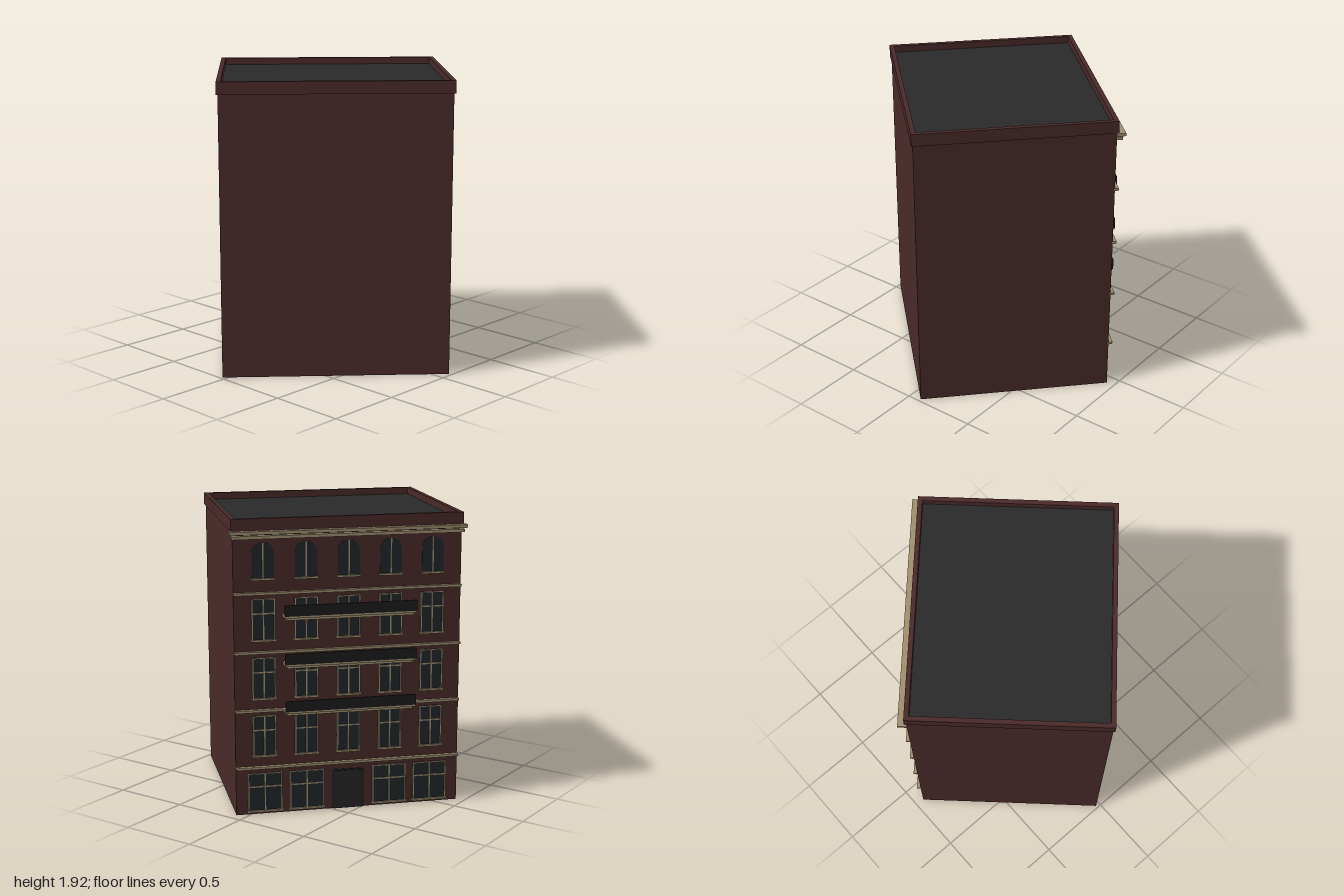
import * as THREE from 'three';

const mat = (name, color) => {
  const m = new THREE.MeshStandardMaterial({ color });
  m.name = name;
  return m;
};

export function createModel() {
  const brick = mat('dark red brick', 0x4a2a2a);
  const stone = mat('beige stone', 0xa09070);
  const roofing = mat('roof felt', 0x2a2a2a);
  const glass = mat('dark glass', 0x20272a);
  const iron = mat('black iron', 0x1c1c1c);
  const doorPaint = mat('door paint', 0x262626);

  const HW = 0.735, HD = 0.626; // half width and half depth of the walls
  const building = new THREE.Group();
  building.name = 'building';

  // Box spanning x0..x1, y0..y1, z0..z1
  const box = (parent, name, m, x0, x1, y0, y1, z0, z1) => {
    const mesh = new THREE.Mesh(new THREE.BoxGeometry(x1 - x0, y1 - y0, z1 - z0), m);
    mesh.position.set((x0 + x1) / 2, (y0 + y1) / 2, (z0 + z1) / 2);
    mesh.name = name;
    parent.add(mesh);
    return mesh;
  };
  // Box standing on the facade, out to the given distance
  const onFacade = (parent, name, m, x0, x1, y0, y1, out) =>
    box(parent, name, m, x0, x1, y0, y1, HD - 0.005, HD + out);

  // Walls, roof and parapet
  box(building, 'walls', brick, -HW, HW, 0, 1.845, -HD, HD);
  box(building, 'roof', roofing, -0.72, 0.72, 1.845, 1.875, -0.61, 0.61);
  const PW = 0.745, PD = 0.636, T = 0.03;
  for (const s of [-1, 1]) {
    const z = s * (PD - T / 2), x = s * (PW - T / 2);
    box(building, 'parapet', brick, -PW, PW, 1.84, 1.92, z - T / 2, z + T / 2);
    box(building, 'parapet', brick, x - T / 2, x + T / 2, 1.84, 1.92, -PD + T, PD - T);
  }

  // Cornice and floor bands
  onFacade(building, 'upperCornice', stone, -0.76, 0.76, 1.825, 1.845, 0.051);
  onFacade(building, 'lowerCornice', stone, -0.745, 0.745, 1.795, 1.815, 0.035);
  for (const y of [0.315, 0.693, 1.072, 1.45])
    onFacade(building, 'floorBand', stone, -HW, HW, y - 0.008, y + 0.008, 0.026);

  // Rectangular window with frame, mullion, transom and sill
  const rectWindow = (cx, y0, w, h) => {
    const g = new THREE.Group();
    g.name = 'window';
    const x0 = cx - w / 2, x1 = cx + w / 2, y1 = y0 + h, f = 0.008;
    onFacade(g, 'glass', glass, x0, x1, y0, y1, 0.004);
    for (const x of [x0, cx - f / 2, x1 - f])
      onFacade(g, 'upright', stone, x, x + f, y0, y1, 0.01);
    const ty = y0 + h * 0.64;
    onFacade(g, 'transom', stone, x0, x1, ty - f / 2, ty + f / 2, 0.009);
    onFacade(g, 'head', stone, x0, x1, y1 - 0.005, y1, 0.009);
    onFacade(g, 'sill', stone, x0 - 0.006, x1 + 0.006, y0 - 0.012, y0, 0.016);
    building.add(g);
  };

  // Round-headed window
  const archWindow = (cx, y0, w, h) => {
    const g = new THREE.Group();
    g.name = 'archedWindow';
    const r = w / 2, spring = h - r;
    const shape = new THREE.Shape();
    shape.moveTo(-r, 0);
    shape.lineTo(r, 0);
    shape.lineTo(r, spring);
    shape.absarc(0, spring, r, 0, Math.PI, false);
    shape.lineTo(-r, 0);
    const pane = new THREE.Mesh(
      new THREE.ExtrudeGeometry(shape, { depth: 0.008, bevelEnabled: false, curveSegments: 10 }), glass);
    pane.position.set(cx, y0, HD - 0.003);
    pane.name = 'glass';
    g.add(pane);
    onFacade(g, 'mullion', stone, cx - 0.004, cx + 0.004, y0, y0 + h, 0.01);
    onFacade(g, 'sill', stone, cx - r - 0.006, cx + r + 0.006, y0 - 0.012, y0, 0.016);
    building.add(g);
  };

  // Window grid: shopfront at street level, three plain floors, arched top floor
  for (let i = -2; i <= 2; i++) {
    const x = i * 0.2735;
    if (i !== 0) rectWindow(x, 0.025, 0.225, 0.25);
    for (let floor = 0; floor < 3; floor++) rectWindow(x, 0.395 + floor * 0.379, 0.152, 0.262);
    archWindow(x, 1.545, 0.14, 0.225);
  }

  // Street door
  onFacade(building, 'doorFrame', iron, -0.104, 0.104, 0, 0.265, 0.004);
  onFacade(building, 'door', doorPaint, -0.094, 0.094, 0, 0.255, 0.008);

  // Balconies: stepped stone slab with a solid iron front
  for (const y of [0.665, 0.972, 1.282]) {
    const g = new THREE.Group();
    g.name = 'balcony';
    onFacade(g, 'slabMoulding', stone, -0.41, 0.41, y, y + 0.016, 0.066);
    onFacade(g, 'slab', stone, -0.425, 0.425, y + 0.016, y + 0.034, 0.08);
    box(g, 'railing', iron, -0.425, 0.425, y + 0.03, y + 0.1, HD + 0.078, HD + 0.088);
    building.add(g);
  }

  // Turn the facade to the back corner
  building.rotation.y = Math.atan2(-0.727, -0.686);
  building.position.set(0.02, 0, 0.02);

  const model = new THREE.Group();
  model.name = 'cornerBuilding';
  model.add(building);
  return model;
}
